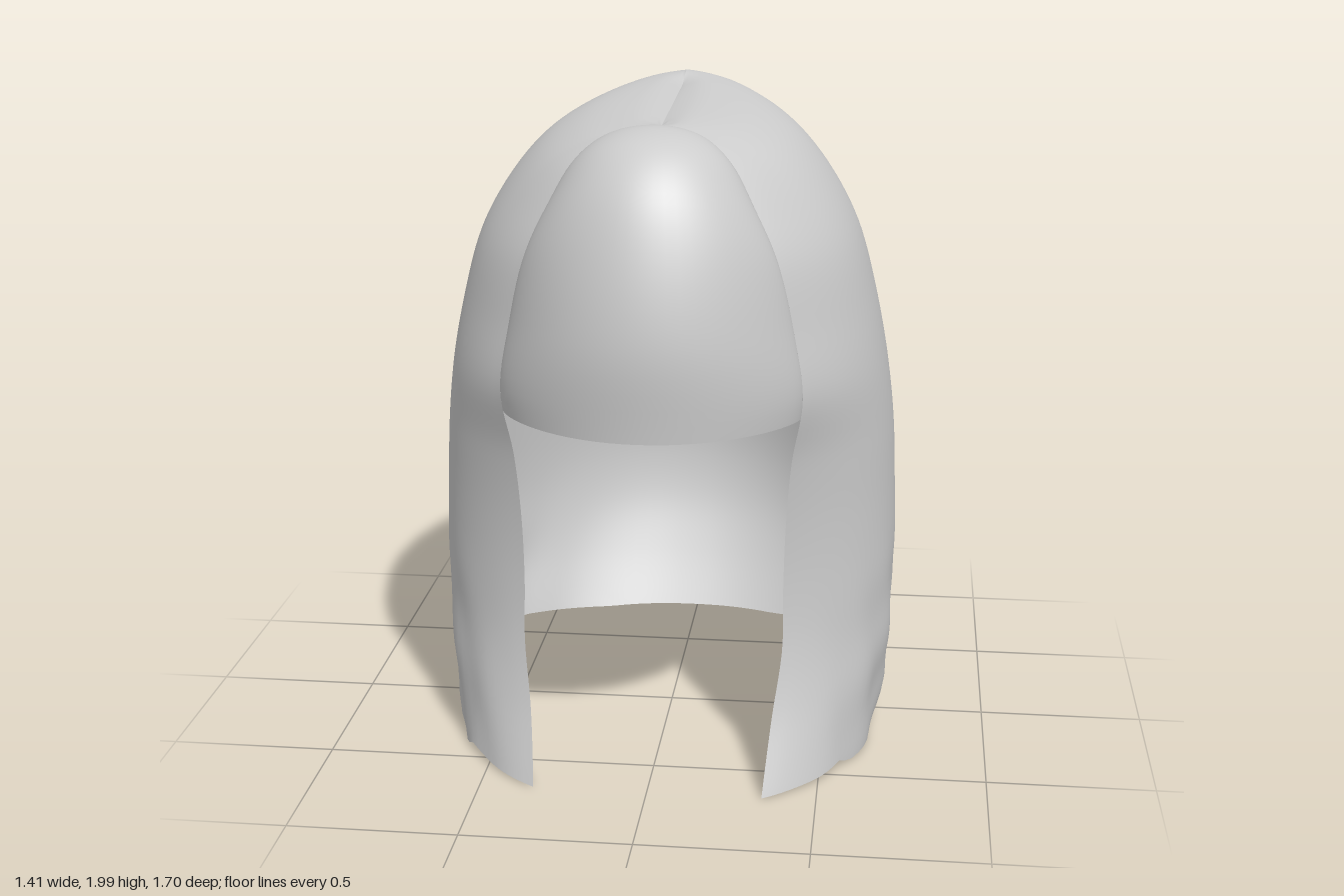
import * as THREE from 'three';

// Shell rows from crown to hem: height, half width, back depth, front edge x, front edge z
const ROWS = [
  [2.0, 0, 0.42, 0, 0.37],
  [1.985, 0.17, 0.505, 0.08, 0.385],
  [1.95, 0.29, 0.565, 0.165, 0.435],
  [1.88, 0.395, 0.62, 0.235, 0.485],
  [1.76, 0.49, 0.685, 0.295, 0.525],
  [1.6, 0.57, 0.735, 0.36, 0.55],
  [1.4, 0.625, 0.765, 0.405, 0.555],
  [1.2, 0.665, 0.79, 0.435, 0.56],
  [1.0, 0.69, 0.82, 0.405, 0.53],
  [0.8, 0.7, 0.835, 0.39, 0.51],
  [0.6, 0.705, 0.84, 0.385, 0.505],
  [0.4, 0.7, 0.81, 0.385, 0.52],
  [0.2, 0.69, 0.74, 0.36, 0.58],
  [0, 0.66, 0.65, 0.34, 0.68],
];

// Hem height by depth, front to back
const HEM = [[0.68, 0.01], [0.55, 0.02], [0.45, 0.035], [0.4, 0.01], [0.2, 0.03],
  [0, 0.07], [-0.2, 0.135], [-0.4, 0.12], [-0.6, 0.08], [-0.9, 0.09]];

const { clamp, lerp, smoothstep } = THREE.MathUtils;
const power = (v, p) => Math.sign(v) * Math.abs(v) ** p;

function hemHeight(z) {
  for (let i = 1; i < HEM.length; i++) {
    const [z0, y0] = HEM[i - 1], [z1, y1] = HEM[i];
    if (z >= z1) return lerp(y0, y1, clamp((z - z0) / (z1 - z0), 0, 1));
  }
  return 0.09;
}

// Smooth interpolation of one column of ROWS
function column(k, t) {
  const last = ROWS.length - 1;
  const i = Math.min(Math.floor(t), last - 1), f = t - i;
  const p = (n) => ROWS[clamp(n, 0, last)][k];
  const m0 = (p(i + 1) - p(i - 1)) / 2, m1 = (p(i + 2) - p(i)) / 2;
  const f2 = f * f, f3 = f2 * f;
  return (2 * f3 - 3 * f2 + 1) * p(i) + (f3 - 2 * f2 + f) * m0
    + (3 * f2 - 2 * f3) * p(i + 1) + (f3 - f2) * m1;
}

// Point on the long hair: u runs around from left front edge to right front edge
function shellPoint(u, t) {
  const [h, w, back, ex, ez] = [0, 1, 2, 3, 4].map((k) => column(k, t));
  // Plan outline: fuller than an ellipse in front and near the hem, leaner at the upper back
  const upper = smoothstep(h, 0.2, 1.2);
  const front = lerp(0.87, 0.91, upper), rear = lerp(0.92, 1.06, upper);
  const start = w > 0.001 ? Math.asin(clamp(ex / w, 0, 0.95) ** (1 / front)) : 0;
  const a = lerp(start, 2 * Math.PI - start, u);
  const s = Math.sin(a), c = Math.cos(a);
  const p = c > 0 ? front : rear;
  let x = w * power(s, p);
  const z = power(c, p) * (c > 0 ? ez / Math.cos(start) ** front : back);
  // Loose folds near the hem, strongest at the sides
  const low = 1 - smoothstep(h, 0.05, 0.75);
  x *= 1 + low * Math.abs(s) ** 3 * (0.012 * Math.sin(a * 17 + h * 9) + 0.008 * Math.sin(h * 21 + z * 6));
  // Crown slopes down to the front; lower rows follow the hem
  let y = h - 0.06 * smoothstep(h, 1.4, 2) * clamp((z + 0.42) / 0.79, 0, 1);
  if (h < 0.6) y += hemHeight(z) * (1 - h / 0.6);
  // Shallow groove along the parting, fading out at both ends
  y -= 0.022 * Math.max(0, 1 - t * 2) * smoothstep(z, -0.4, -0.28) * (1 - smoothstep(z, 0.27, 0.37));
  return [x, y, z];
}

// Grid surface from a point function
function surface(cols, rows, point) {
  const pos = [], index = [], n = cols + 1;
  for (let j = 0; j <= rows; j++) {
    for (let i = 0; i <= cols; i++) {
      pos.push(...point(i / cols, j / rows));
      if (i < cols && j < rows) {
        const a = j * n + i;
        index.push(a, a + n, a + 1, a + 1, a + n, a + n + 1);
      }
    }
  }
  const g = new THREE.BufferGeometry();
  g.setAttribute('position', new THREE.Float32BufferAttribute(pos, 3));
  g.setIndex(index);
  g.computeVertexNormals();
  return g;
}

export function createModel() {
  const hair = new THREE.MeshStandardMaterial({ color: 0xcccccc, side: THREE.DoubleSide });
  hair.name = 'hairGrey';
  const group = new THREE.Group();
  group.name = 'hairstyle';

  // Long hair over crown, sides and back
  const longHair = new THREE.Mesh(
    surface(96, 78, (u, v) => shellPoint(u, v * (ROWS.length - 1))), hair);
  longHair.name = 'longHair';
  group.add(longHair);

  // Rounded fringe: centre profile bulging forward between the two front edges
  const profile = new THREE.CatmullRomCurve3([
    [1.935, 0.37], [1.952, 0.43], [1.955, 0.51], [1.92, 0.63], [1.82, 0.735],
    [1.65, 0.81], [1.4, 0.855], [1.135, 0.835],
  ].map(([y, z]) => new THREE.Vector3(0, y, z)));
  const fringe = new THREE.Mesh(surface(32, 40, (u, v) => {
    const [ex, ey, ez] = shellPoint(0, v * 7.3);
    const c = profile.getPoint(v);
    const a = (u - 0.5) * Math.PI, bulge = Math.max(0, Math.cos(a));
    return [ex * Math.sin(a), lerp(ey, c.y, bulge), lerp(ez, c.z, bulge ** 1.5)];
  }), hair);
  fringe.name = 'fringe';
  group.add(fringe);

  return group;
}
